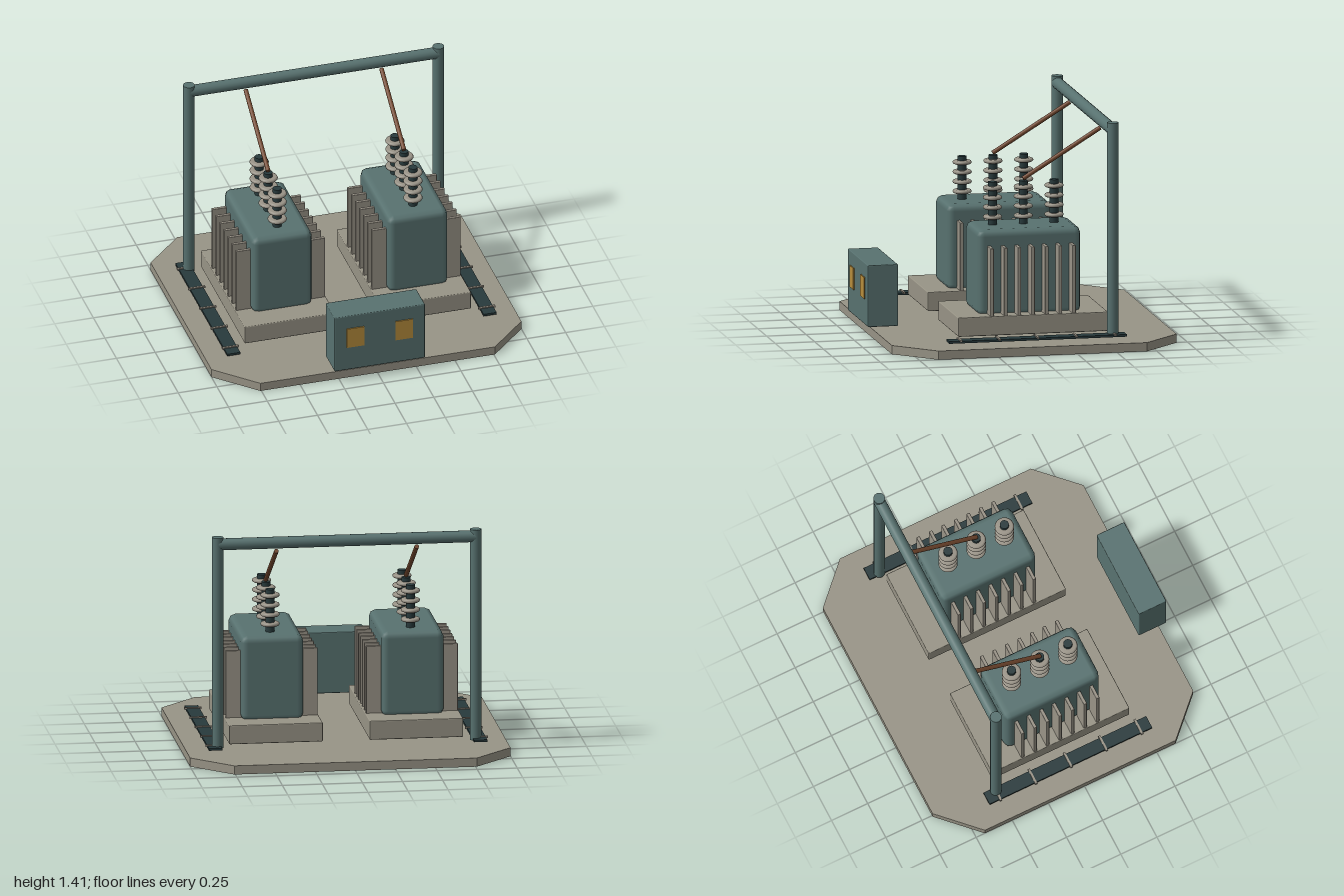
import * as THREE from 'three';
import { RoundedBoxGeometry } from 'three/addons/geometries/RoundedBoxGeometry.js';

const mat = (name, color) => Object.assign(new THREE.MeshStandardMaterial({ color }), { name });

export function createModel() {
  const steel = mat('teal steel', 0x587270);
  const concrete = mat('concrete', 0x989486);
  const finGrey = mat('warm grey', 0x999387);
  const dark = mat('dark slate', 0x283a3c);
  const copper = mat('copper', 0x75492f);
  const amber = mat('amber', 0xb88d3c);

  const root = new THREE.Group();
  root.name = 'substation';

  const add = (parent, name, geo, material, x, y, z) => {
    const m = new THREE.Mesh(geo, material);
    m.name = name;
    m.position.set(x, y, z);
    parent.add(m);
    return m;
  };
  const group = (name, x = 0, z = 0) => {
    const g = new THREE.Group();
    g.name = name;
    g.position.set(x, 0, z);
    root.add(g);
    return g;
  };
  // Straight rod between two points
  const rod = (parent, name, a, b, r, material) => {
    const dir = b.clone().sub(a);
    const mid = a.clone().add(b).multiplyScalar(0.5);
    const m = add(parent, name, new THREE.CylinderGeometry(r, r, dir.length(), 16), material, mid.x, mid.y, mid.z);
    m.quaternion.setFromUnitVectors(new THREE.Vector3(0, 1, 0), dir.normalize());
    return m;
  };

  // Ground slab with cut corners (shape y becomes -z)
  const outline = [[-0.757, 0.93], [-1, 0.69], [-1, -0.63], [-0.757, -0.873],
    [0.757, -0.873], [1, -0.63], [1, 0.69], [0.757, 0.93]];
  const slabShape = new THREE.Shape(outline.map(([x, y]) => new THREE.Vector2(x, y)));
  const slab = new THREE.ExtrudeGeometry(slabShape, { depth: 0.055, bevelEnabled: false });
  slab.rotateX(-Math.PI / 2);
  add(root, 'groundSlab', slab, concrete, 0, 0, 0);

  // Shared transformer geometries
  const plinthGeo = new RoundedBoxGeometry(0.585, 0.12, 0.95, 1, 0.006);
  const tankGeo = new RoundedBoxGeometry(0.389, 0.545, 0.655, 1, 0.042);
  const finGeo = new RoundedBoxGeometry(0.574, 0.437, 0.022, 1, 0.004);
  const coreGeo = new THREE.CylinderGeometry(0.028, 0.028, 0.29, 16);
  const rim = [[0.02, -0.0115], [0.049, -0.0115], [0.056, -0.008], [0.06, 0],
    [0.056, 0.008], [0.049, 0.0115], [0.02, 0.0115]];
  const shedGeo = new THREE.LatheGeometry(rim.map(([x, y]) => new THREE.Vector2(x, y)), 24);

  for (const s of [-1, 1]) {
    const side = s > 0 ? 'left' : 'right';

    // Transformer: plinth, tank and cooling fins
    const t = group(side + 'Transformer', s * 0.438, -0.029);
    add(t, 'plinth', plinthGeo, concrete, 0, 0.146, 0);
    add(t, 'tank', tankGeo, steel, 0, 0.4575, 0);
    for (let i = -3; i <= 3; i++) {
      add(t, 'coolingFin', finGeo, finGrey, 0, 0.4145, i * 0.0865);
    }

    // Ribbed insulators
    for (let i = -1; i <= 1; i++) {
      const z = i * 0.195;
      add(t, 'insulatorCore', coreGeo, dark, 0, 0.855, z);
      for (let k = 0; k < 4; k++) add(t, 'insulatorShed', shedGeo, finGrey, 0, 0.779 + k * 0.061, z);
    }

    // Conductor rising to the gantry
    rod(root, side + 'Conductor', new THREE.Vector3(s * 0.438, 1.011, -0.027),
      new THREE.Vector3(s * 0.438, 1.312, -0.516), 0.014, copper);

    // Gantry post
    rod(root, side + 'GantryPost', new THREE.Vector3(s * 0.805, 0.072, -0.516),
      new THREE.Vector3(s * 0.805, 1.412, -0.516), 0.036, steel);

    // Cable tray with cross straps
    const tray = group(side + 'CableTray', s * 0.827, -0.029);
    add(tray, 'trayChannel', new THREE.BoxGeometry(0.084, 0.014, 1.125), dark, 0, 0.079, 0);
    for (let i = -2; i <= 2; i++) {
      add(tray, 'trayStrap', new THREE.BoxGeometry(0.108, 0.012, 0.014), finGrey, 0, 0.087, i * 0.244);
    }
  }

  // Gantry beam
  rod(root, 'gantryBeam', new THREE.Vector3(-0.805, 1.366, -0.516),
    new THREE.Vector3(0.805, 1.366, -0.516), 0.037, steel);

  // Control cabinet with amber panels
  const cabinet = group('controlCabinet', 0, 0.826);
  add(cabinet, 'cabinetBody', new RoundedBoxGeometry(0.585, 0.388, 0.192, 1, 0.006), steel, 0, 0.28, 0);
  for (const x of [-0.158, 0.156]) {
    add(cabinet, 'amberPanel', new THREE.BoxGeometry(0.112, 0.135, 0.008), amber, x, 0.317, 0.099);
  }
  return root;
}
